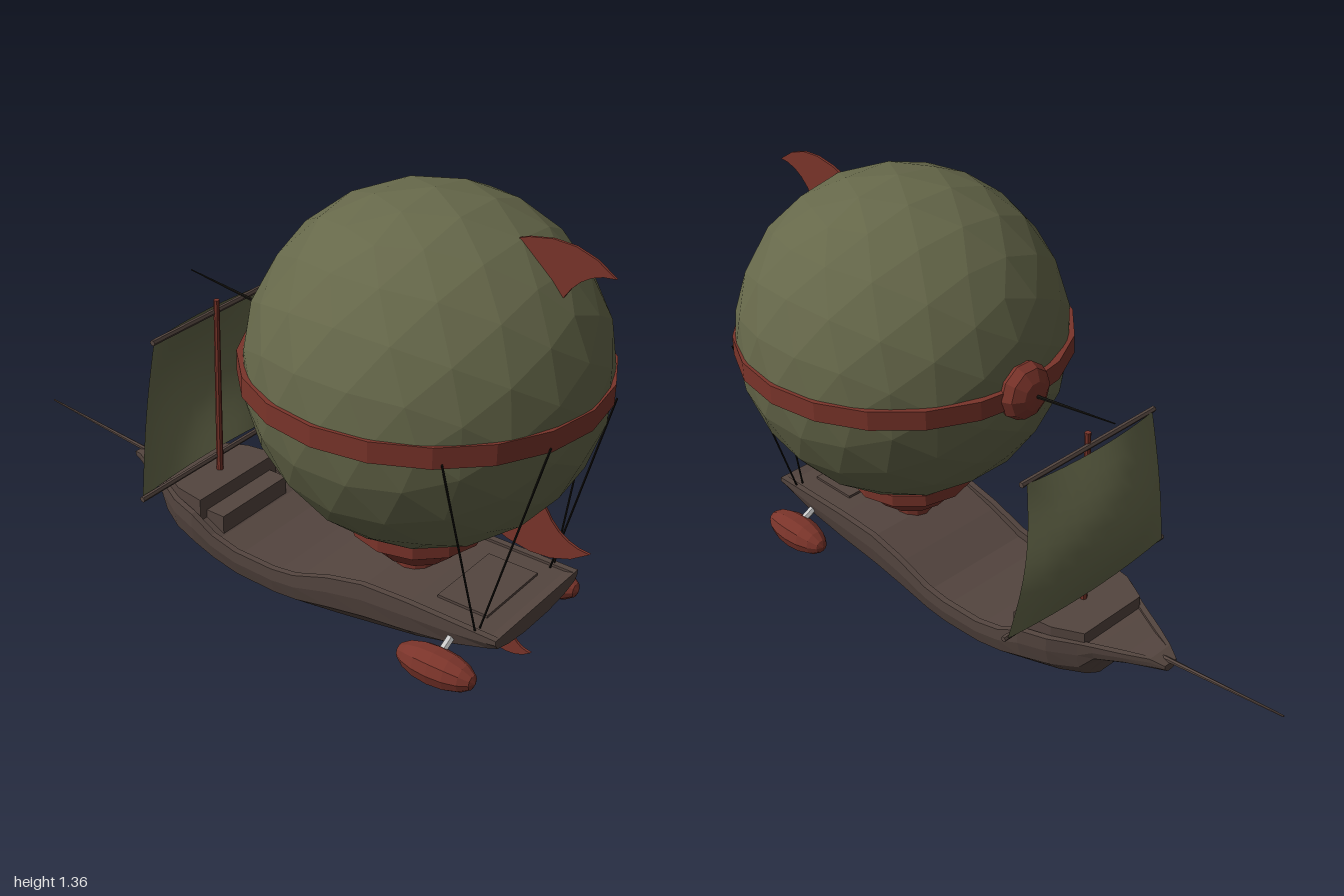
import * as THREE from 'three';

const mat = (color, side = THREE.FrontSide) => new THREE.MeshStandardMaterial({ color, flatShading: true, side });
const OLIVE = mat(0x66684a), RED = mat(0x7a342a), WOOD = mat(0x54453f), ROPE = mat(0x15130f), GREY = mat(0xcccccc);
const SAIL = new THREE.MeshStandardMaterial({ color: 0x686b4c, side: THREE.DoubleSide });

// Closed loft through rings of [x, y, z], counter-clockwise seen from +z, ordered by rising z
function loft(rings) {
  const n = rings[0].length, pos = [], index = [];
  rings.forEach(r => r.forEach(p => pos.push(...p)));
  for (let i = 0; i < rings.length - 1; i++) {
    for (let j = 0; j < n; j++) {
      const a = i * n + j, b = i * n + (j + 1) % n;
      index.push(a, b, b + n, a, b + n, a + n);
    }
  }
  const last = (rings.length - 1) * n;
  for (let j = 1; j < n - 1; j++) {
    index.push(0, j + 1, j, last, last + j, last + j + 1);
  }
  const g = new THREE.BufferGeometry();
  g.setAttribute('position', new THREE.Float32BufferAttribute(pos, 3));
  g.setIndex(index);
  g.computeVertexNormals();
  return g;
}

// Hooked fin in the z-y plane with its tip at (z, y); flip = -1 hangs it upside down
function finGeometry(z, y, scale, flip) {
  const s = new THREE.Shape(), k = scale, f = scale * flip;
  s.moveTo(0, 0);
  s.quadraticCurveTo(-0.09 * k, 0, -0.14 * k, -0.09 * f);
  s.lineTo(-0.26 * k, -0.08 * f);
  s.lineTo(-0.32 * k, 0.02 * f);
  s.quadraticCurveTo(-0.13 * k, 0.11 * f, 0, 0);
  const g = new THREE.ExtrudeGeometry(s, { depth: 0.008, bevelEnabled: false, curveSegments: 5 });
  return g.translate(0, 0, -0.004).rotateY(-Math.PI / 2).translate(0, y, z);
}

export function createModel() {
  const model = new THREE.Group();
  const add = (name, geometry, material, x = 0, y = 0, z = 0) => {
    const m = new THREE.Mesh(geometry, material);
    m.name = name;
    m.position.set(x, y, z);
    model.add(m);
    return m;
  };
  // Thin rod between two points
  const rod = (name, a, b, r0, r1, material, sides = 6) => {
    const p = new THREE.Vector3(...a), q = new THREE.Vector3(...b), d = q.clone().sub(p);
    const m = add(name, new THREE.CylinderGeometry(r1, r0, d.length(), sides), material);
    m.position.copy(p).add(q).multiplyScalar(0.5);
    m.quaternion.setFromUnitVectors(new THREE.Vector3(0, 1, 0), d.normalize());
    return m;
  };

  // Balloon with its belt
  add('balloon', new THREE.IcosahedronGeometry(0.5, 3), OLIVE, 0, 0.86, 0.47);
  add('belt', new THREE.CylinderGeometry(0.509, 0.509, 0.06, 20), RED, 0, 0.855, 0.465);

  // Funnel joining balloon and deck
  const funnel = [[0, 0.39], [0.195, 0.39], [0.195, 0.352], [0.155, 0.325], [0.115, 0.28], [0.09, 0.265],
    [0.06, 0.265], [0.06, 0.22], [0, 0.22]].map(p => new THREE.Vector2(...p)).reverse();
  add('funnel', new THREE.LatheGeometry(funnel, 12), RED, 0, 0, 0.46);

  // Balloon fins and keel fin
  add('upperFin', finGeometry(1, 1.25, 1, 1), RED);
  add('lowerFin', finGeometry(1, 0.465, 1, -1), RED);
  add('keelFin', finGeometry(0.85, 0.08, 0.45, -1), RED);

  // Nose cap and spike
  const cap = add('noseCap', new THREE.SphereGeometry(0.09, 10, 6).rotateX(-Math.PI / 2), RED, 0, 0.86, -0.03);
  cap.scale.z = 0.62;
  rod('noseSpike', [0, 0.86, -0.07], [0, 0.9, -0.37], 0.006, 0.002, ROPE);

  // Hull stations: z, half width, top, bottom, deck recess
  const stations = [
    [-0.61, 0.025, 0.21, 0.185, 0], [-0.57, 0.045, 0.225, 0.175, 0], [-0.5, 0.082, 0.225, 0.165, 0.008],
    [-0.42, 0.12, 0.225, 0.14, 0.008], [-0.38, 0.14, 0.225, 0.06, 0.01], [-0.3, 0.185, 0.225, 0.045, 0.01],
    [-0.21, 0.21, 0.22, 0.03, 0.03], [-0.13, 0.212, 0.178, 0.018, 0.03], [-0.04, 0.214, 0.158, 0.006, 0.025],
    [0.1, 0.215, 0.156, 0, 0.025], [0.18, 0.215, 0.167, 0.004, 0.025], [0.3, 0.215, 0.21, 0.015, 0.02],
    [0.42, 0.215, 0.238, 0.032, 0.01], [0.57, 0.215, 0.245, 0.06, 0.008], [0.72, 0.215, 0.245, 0.105, 0.008],
    [0.83, 0.215, 0.245, 0.168, 0.008], [0.86, 0.215, 0.245, 0.19, 0]];
  const hullRings = stations.map(([z, w, top, bottom, recess]) => {
    const h = top - bottom, rail = w - Math.min(0.02, w * 0.3);
    const half = [[0.28 * w, bottom], [0.68 * w, bottom + 0.18 * h], [0.94 * w, bottom + 0.45 * h],
      [w, bottom + 0.75 * h], [w, top], [rail, top], [rail, top - recess]];
    const right = half.map(([x, y]) => [x, y, z]);
    const left = half.map(([x, y]) => [-x, y, z]).reverse();
    return [[0, bottom, z], ...right, ...left];
  });
  add('hull', loft(hullRings), WOOD);

  // Red strip along the bottom
  const keelRings = stations.filter(s => s[0] > -0.37 && s[0] < 0.8).map(([z, w, , b]) => {
    const k = 0.27 * w;
    return [[-k, b - 0.003, z], [k, b - 0.003, z], [k, b + 0.01, z], [-k, b + 0.01, z]];
  });
  add('keelStrip', loft(keelRings), RED, 0, 0.003, 0).position.y = 0.001;

  // Raised foredeck, step and stern hatch
  const foredeck = [[-0.39, 0.12], [-0.3, 0.165], [-0.2, 0.18]].map(([z, w]) =>
    [[-w, 0.15, z], [w, 0.15, z], [w, 0.257, z], [-w, 0.257, z]]);
  add('foredeck', loft(foredeck), WOOD);
  add('foredeckStep', new THREE.BoxGeometry(0.3, 0.09, 0.07), WOOD, 0, 0.165, -0.17);
  add('sternHatch', new THREE.BoxGeometry(0.26, 0.02, 0.16), WOOD, 0, 0.235, 0.7);

  // Bowsprit, mast and yards
  rod('bowsprit', [0, 0.21, -0.55], [0, 0.256, -1], 0.008, 0.003, WOOD);
  rod('mast', [0, 0.24, -0.275], [0, 0.83, -0.275], 0.011, 0.009, RED, 8);
  rod('lowerYard', [-0.34, 0.305, -0.283], [0.34, 0.305, -0.283], 0.009, 0.009, WOOD);
  rod('upperYard', [-0.27, 0.79, -0.283], [0.27, 0.79, -0.283], 0.009, 0.009, WOOD);

  // Billowing sail
  const sail = new THREE.PlaneGeometry(2, 1, 12, 10), sp = sail.attributes.position;
  for (let i = 0; i < sp.count; i++) {
    const u = sp.getX(i), v = sp.getY(i) + 0.5, belly = Math.sin(Math.PI * v), mid = 1 - u * u;
    sp.setXYZ(i, u * (0.33 - 0.075 * v - 0.012 * belly), 0.305 + 0.485 * v,
      -0.29 - 0.02 * mid - belly * (0.02 + 0.07 * mid));
  }
  sail.computeVertexNormals();
  add('sail', sail, SAIL);

  // Engine pods with struts, and the stern ropes
  for (const s of [-1, 1]) {
    const side = s > 0 ? 'left' : 'right';
    const pod = add(side + 'Pod', new THREE.SphereGeometry(1, 10, 8).rotateX(Math.PI / 2), RED, s * 0.272, 0.132, 0.715);
    pod.scale.set(0.056, 0.056, 0.126);
    rod(side + 'Strut', [s * 0.2, 0.19, 0.715], [s * 0.26, 0.16, 0.715], 0.012, 0.012, GREY);
    rod(side + 'OuterRope', [s * 0.205, 0.24, 0.79], [s * 0.4, 0.84, 0.785], 0.003, 0.003, ROPE, 5);
    rod(side + 'InnerRope', [s * 0.182, 0.24, 0.79], [s * 0.167, 0.84, 0.95], 0.003, 0.003, ROPE, 5);
  }
  return model;
}
